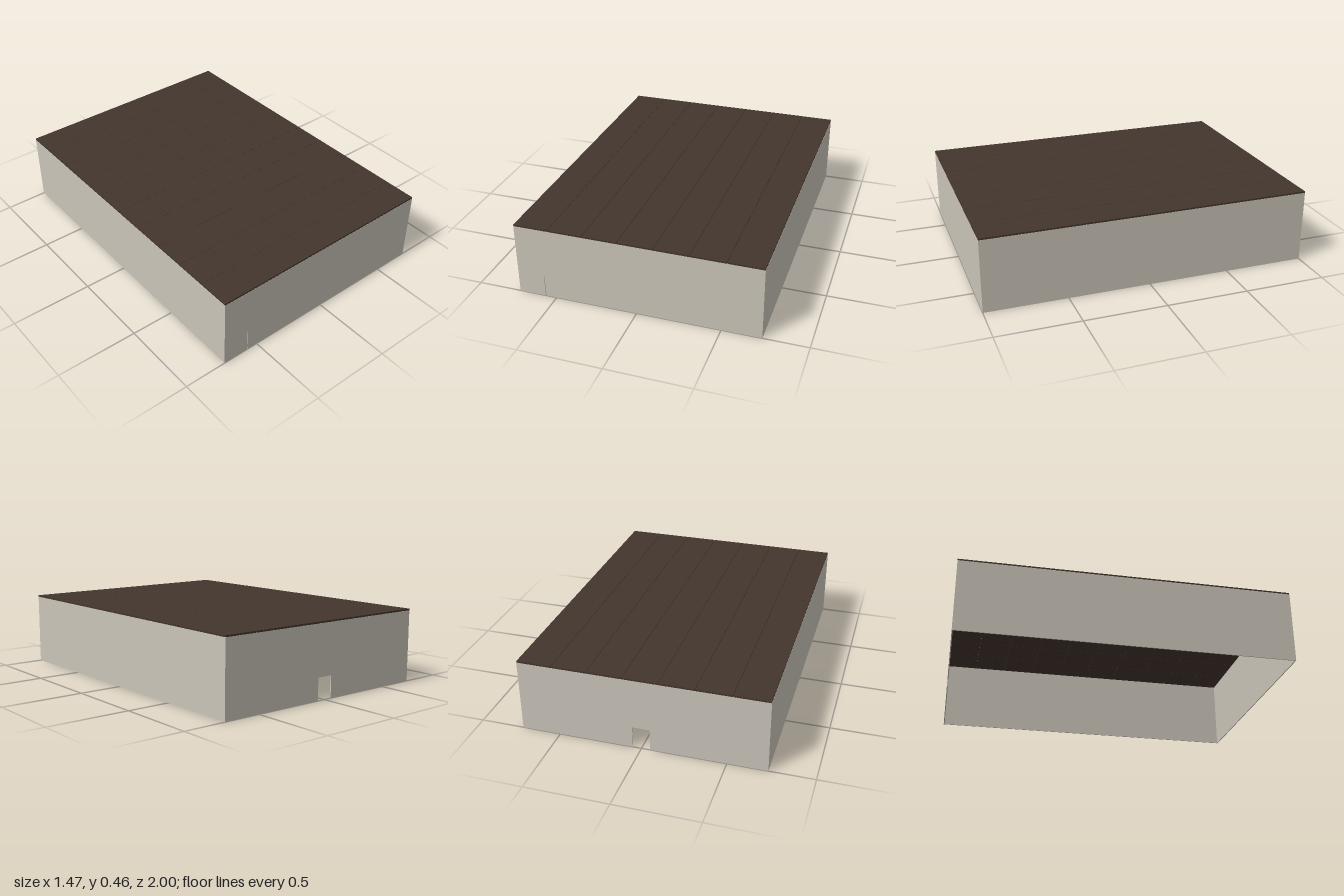
import * as THREE from 'three';

const W = 1.47, L = 2, WALL_H = 0.445, T = 0.006;
const ROOF_T = 0.01, COLS = 7, ROWS = 10, GAP = 0.002;
const DOOR_H = 0.135;

export function createModel() {
  const group = new THREE.Group();
  const wallMat = new THREE.MeshStandardMaterial({ color: 0xcac5b9 });
  wallMat.name = 'pale stone wall';
  const roofMat = new THREE.MeshStandardMaterial({ color: 0x43352d });
  roofMat.name = 'dark brown roof';

  const add = (name, geometry, material, x, y, z, parent = group) => {
    const mesh = new THREE.Mesh(geometry, material);
    mesh.name = name;
    mesh.position.set(x, y, z);
    parent.add(mesh);
    return mesh;
  };

  // End wall with a doorway cut up from the ground between x0 and x1
  const endWall = (x0, x1) => {
    const h = W / 2;
    const shape = new THREE.Shape([
      [-h, 0], [x0, 0], [x0, DOOR_H], [x1, DOOR_H],
      [x1, 0], [h, 0], [h, WALL_H], [-h, WALL_H],
    ].map(([x, y]) => new THREE.Vector2(x, y)));
    return new THREE.ExtrudeGeometry(shape, { depth: T, bevelEnabled: false });
  };

  // Walls: open underneath, wide closed doorway in front, small open one behind
  add('frontWall', endWall(-0.57, 0.57), wallMat, 0, 0, L / 2 - T);
  add('backWall', endWall(-0.052, 0.052), wallMat, 0, 0, -L / 2);
  for (const side of [-1, 1]) {
    add(side > 0 ? 'leftWall' : 'rightWall', new THREE.BoxGeometry(T, WALL_H, L - 2 * T),
      wallMat, side * (W - T) / 2, WALL_H / 2, 0);
  }

  // Front door leaf, flush with the wall and leaving a fine gap at one jamb
  add('frontDoor', new THREE.BoxGeometry(1.137, DOOR_H, T), wallMat,
    0.0015, DOOR_H / 2, L / 2 - T / 2);

  // Flat roof of separate panels with fine joints
  const roof = new THREE.Group();
  roof.name = 'roof';
  group.add(roof);
  const pw = W / COLS, pl = L / ROWS;
  const panel = new THREE.BoxGeometry(pw - GAP, ROOF_T, pl - GAP / 2);
  for (let i = 0; i < COLS; i++) {
    for (let j = 0; j < ROWS; j++) {
      add('roofPanel', panel, roofMat,
        (i + 0.5) * pw - W / 2, WALL_H + ROOF_T / 2, (j + 0.5) * pl - L / 2, roof);
    }
  }

  return group;
}
